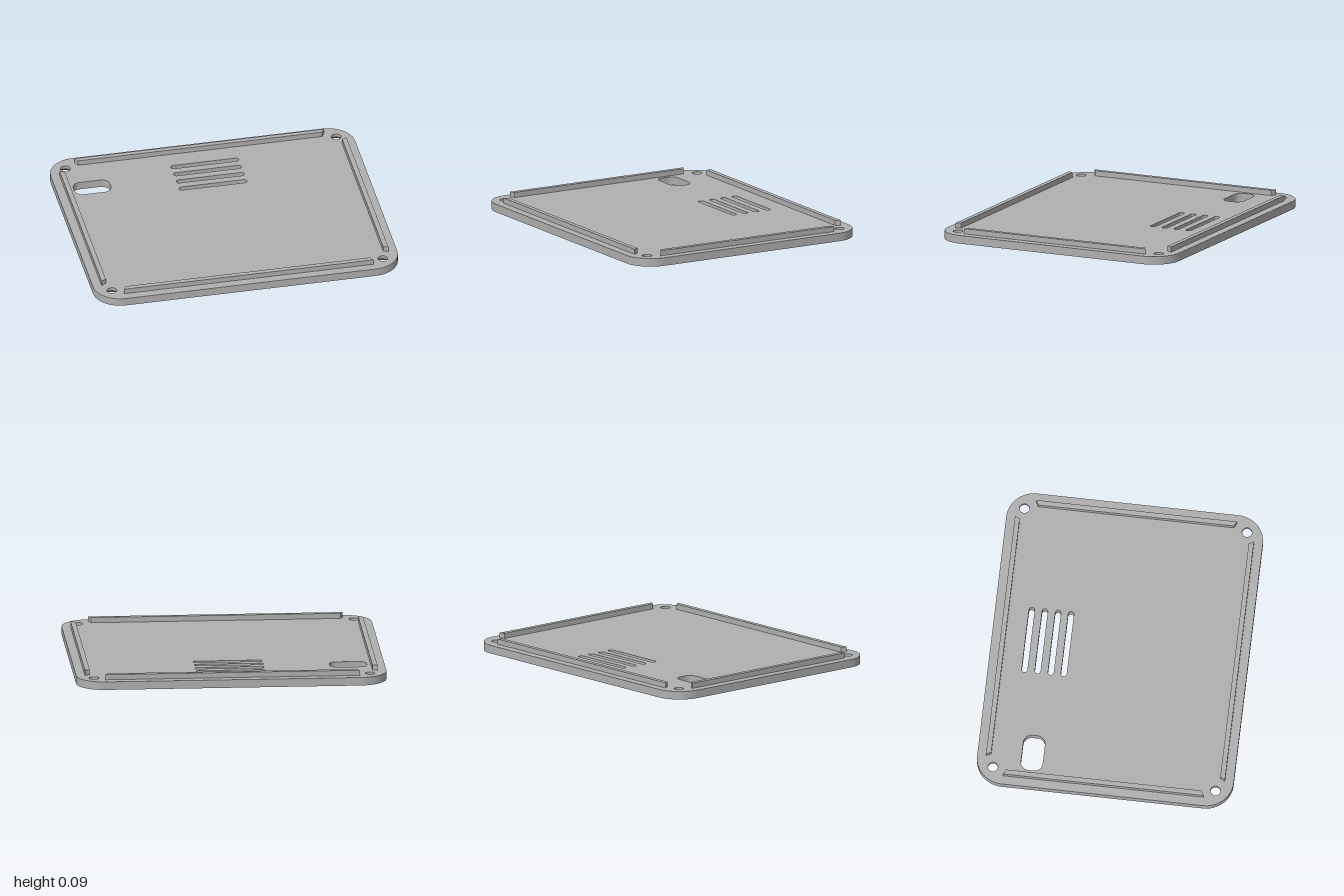
import * as THREE from 'three';
import { mergeGeometries, toCreasedNormals } from 'three/addons/utils/BufferGeometryUtils.js';

const THICK = 0.053, RAIL_TOP = 0.087, SINK = 0.03;

// Counter-clockwise rounded rectangle, drawn in x and -z
function roundedRect(cx, cy, w, h, r, n = 10) {
  const pts = [];
  [[1, 1], [-1, 1], [-1, -1], [1, -1]].forEach(([sx, sy], q) => {
    for (let i = 0; i <= n; i++) {
      const a = (q + i / n) * Math.PI / 2;
      pts.push(new THREE.Vector2(
        cx + sx * (w / 2 - r) + r * Math.cos(a),
        cy + sy * (h / 2 - r) + r * Math.sin(a)));
    }
  });
  return pts;
}

function circle(cx, cy, r, n = 32) {
  return Array.from({ length: n }, (_, i) => {
    const a = i / n * Math.PI * 2;
    return new THREE.Vector2(cx + r * Math.cos(a), cy + r * Math.sin(a));
  });
}

// Flat face at a given height, facing up or down
function cap(outline, holes, height, up) {
  const shape = new THREE.Shape(outline);
  shape.holes = holes.map(h => new THREE.Path(h));
  const g = new THREE.ShapeGeometry(shape).toNonIndexed();
  g.deleteAttribute('uv');
  g.deleteAttribute('normal');
  const p = g.attributes.position;
  if (!up) {
    for (let i = 0; i < p.count; i += 3) {
      const x = p.getX(i), y = p.getY(i);
      p.setXY(i, p.getX(i + 1), p.getY(i + 1));
      p.setXY(i + 1, x, y);
    }
  }
  return g.translate(0, 0, height);
}

// Wall lofted between two matching loops; inward for holes
function wall(low, z0, high, z1, inward) {
  const v = [], n = low.length;
  for (let i = 0; i < n; i++) {
    const j = (i + 1) % n;
    const [s, e] = inward ? [j, i] : [i, j];
    const a = [low[s].x, low[s].y, z0], b = [low[e].x, low[e].y, z0];
    const c = [high[e].x, high[e].y, z1], d = [high[s].x, high[s].y, z1];
    v.push(...a, ...b, ...c, ...a, ...c, ...d);
  }
  const g = new THREE.BufferGeometry();
  g.setAttribute('position', new THREE.Float32BufferAttribute(v, 3));
  return g;
}

export function createModel() {
  const group = new THREE.Group();
  group.name = 'enclosureLid';
  const grey = new THREE.MeshStandardMaterial({ color: 0xb0b0b0 });
  grey.name = 'grey plastic';

  // Plate outline, vent slots and cable window
  const outline = roundedRect(0, 0, 2, 1.66, 0.178, 16);
  const cutouts = [0.594, 0.509, 0.424, 0.34].map(y => roundedRect(0, y, 0.446, 0.037, 0.0184, 6));
  cutouts.push(roundedRect(-0.766, 0.475, 0.24, 0.14, 0.053));

  // Countersunk screw holes, wide on the underside
  const small = [], large = [];
  for (const x of [-0.89, 0.89]) {
    for (const y of [-0.72, 0.72]) {
      small.push(circle(x, y, 0.032));
      large.push(circle(x, y, 0.064));
    }
  }

  const parts = [
    cap(outline, [...cutouts, ...small], THICK, true),
    cap(outline, [...cutouts, ...large], 0, false),
    wall(outline, 0, outline, THICK, false),
    ...cutouts.map(c => wall(c, 0, c, THICK, true)),
    ...small.map((s, i) => wall(large[i], 0, s, SINK, true)),
    ...small.map(s => wall(s, SINK, s, THICK, true)),
  ];
  const plateGeo = mergeGeometries(parts).rotateX(-Math.PI / 2);
  plateGeo.computeVertexNormals();
  const plate = new THREE.Mesh(toCreasedNormals(plateGeo, 0.5), grey);
  plate.name = 'plate';
  group.add(plate);

  // Locating rails with mitred ends, longer on the outer edge
  function addRail(name, half, inner, outer, angle) {
    const shape = new THREE.Shape([
      new THREE.Vector2(-half + 0.017, inner), new THREE.Vector2(half - 0.017, inner),
      new THREE.Vector2(half, outer), new THREE.Vector2(-half, outer),
    ]);
    const geo = new THREE.ExtrudeGeometry(shape, { depth: RAIL_TOP - THICK, bevelEnabled: false });
    geo.rotateX(-Math.PI / 2).translate(0, THICK, 0);
    const rail = new THREE.Mesh(geo, grey);
    rail.name = name;
    rail.rotation.y = angle;
    group.add(rail);
  }
  addRail('backRail', 0.82, 0.741, 0.773, 0);
  addRail('frontRail', 0.82, 0.741, 0.773, Math.PI);
  addRail('rightRail', 0.65, 0.911, 0.943, Math.PI / 2);
  addRail('leftRail', 0.65, 0.911, 0.943, -Math.PI / 2);

  return group;
}
